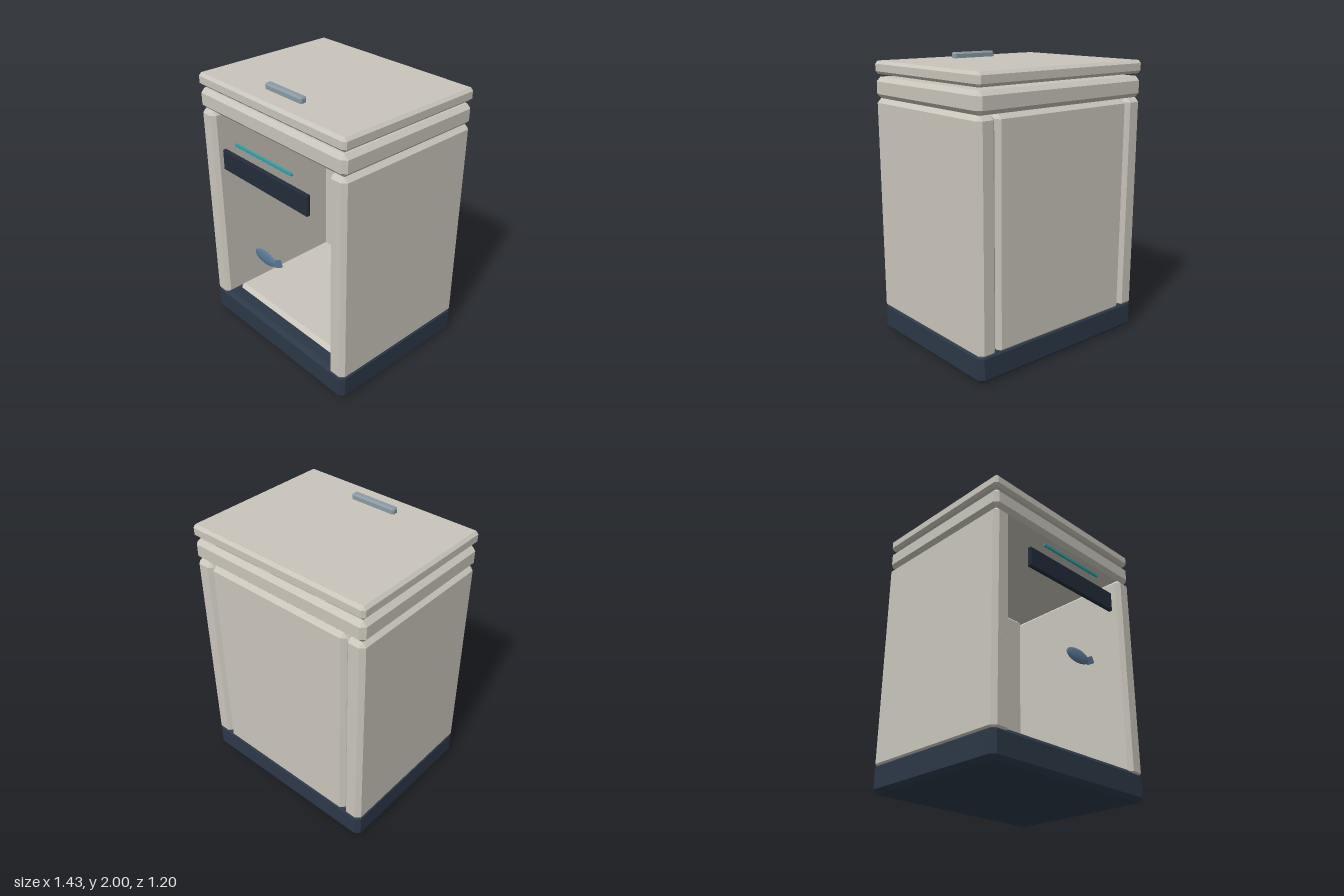
import * as THREE from 'three';
import { ConvexGeometry } from 'three/addons/geometries/ConvexGeometry.js';

const material = (color) => new THREE.MeshStandardMaterial({ color });
const shell = material(0xc9c5bb);
const navy = material(0x2c3848);
const darkNavy = material(0x222c3a);
const teal = material(0x2f9fa6);
const steel = material(0x8a9aa4);
const blue = material(0x587898);

// Box given by its limits, with every edge chamfered by c
function chamferBox(name, mat, [x0, x1], [y0, y1], [z0, z1], c) {
  const h = [(x1 - x0) / 2, (y1 - y0) / 2, (z1 - z0) / 2];
  const points = [];
  for (const sx of [-1, 1]) for (const sy of [-1, 1]) for (const sz of [-1, 1])
    for (let axis = 0; axis < 3; axis++) {
      const [x, y, z] = h.map((v, i) => (i === axis ? v : v - c));
      points.push(new THREE.Vector3(sx * x, sy * y, sz * z));
    }
  const mesh = new THREE.Mesh(new ConvexGeometry(points), mat);
  mesh.position.set((x0 + x1) / 2, (y0 + y1) / 2, (z0 + z1) / 2);
  mesh.name = name;
  return mesh;
}

export function createModel() {
  const model = new THREE.Group();
  model.name = 'openCabinet';
  const W = 0.715, INNER = 0.575, C = 0.03;
  const depth = [-0.602, 0.543], wallY = [0.17, 1.707];

  // Plinth, side walls, back and floor
  model.add(chamferBox('base', navy, [-W, W], [0, 0.207], depth, C));
  model.add(chamferBox('leftWall', shell, [INNER, W], wallY, depth, C));
  model.add(chamferBox('rightWall', shell, [-W, -INNER], wallY, depth, C));
  model.add(chamferBox('backPanel', shell, [-INNER, INNER], wallY, [depth[0], -0.465], C));
  model.add(chamferBox('floor', shell, [-INNER, INNER], [0.1, 0.236], [-0.49, 0.43], C));

  // Top rim and the raised lid with its handle
  model.add(chamferBox('topRim', shell, [-W, W], [1.707, 1.852], depth, C));
  model.add(chamferBox('lid', shell, [-W, W], [1.87, 1.96], depth, 0.02));
  model.add(chamferBox('lidHandle', steel, [-0.177, 0.177], [1.945, 2], [0.342, 0.395], 0.011));

  // Front display panel and light strip
  model.add(chamferBox('displayPanel', darkNavy, [-0.43, 0.43], [1.35, 1.5], [0.548, 0.579], 0.006));
  model.add(chamferBox('lightStrip', teal, [-0.285, 0.285], [1.573, 1.595], [0.56, 0.575], 0.002));

  // Fish emblem: flattened body and tilted tail
  const fish = new THREE.Group();
  fish.name = 'fish';
  fish.position.set(0, 0.843, 0.587);
  const body = new THREE.Mesh(new THREE.SphereGeometry(1, 32, 20), blue);
  body.name = 'fishBody';
  body.scale.set(0.11, 0.051, 0.014);
  const tail = new THREE.Mesh(new THREE.BoxGeometry(0.07, 0.05, 0.014), blue);
  tail.name = 'fishTail';
  tail.position.set(0.128, 0.009, -0.005);
  tail.rotation.z = 0.48;
  fish.add(body, tail);
  model.add(fish);

  return model;
}
